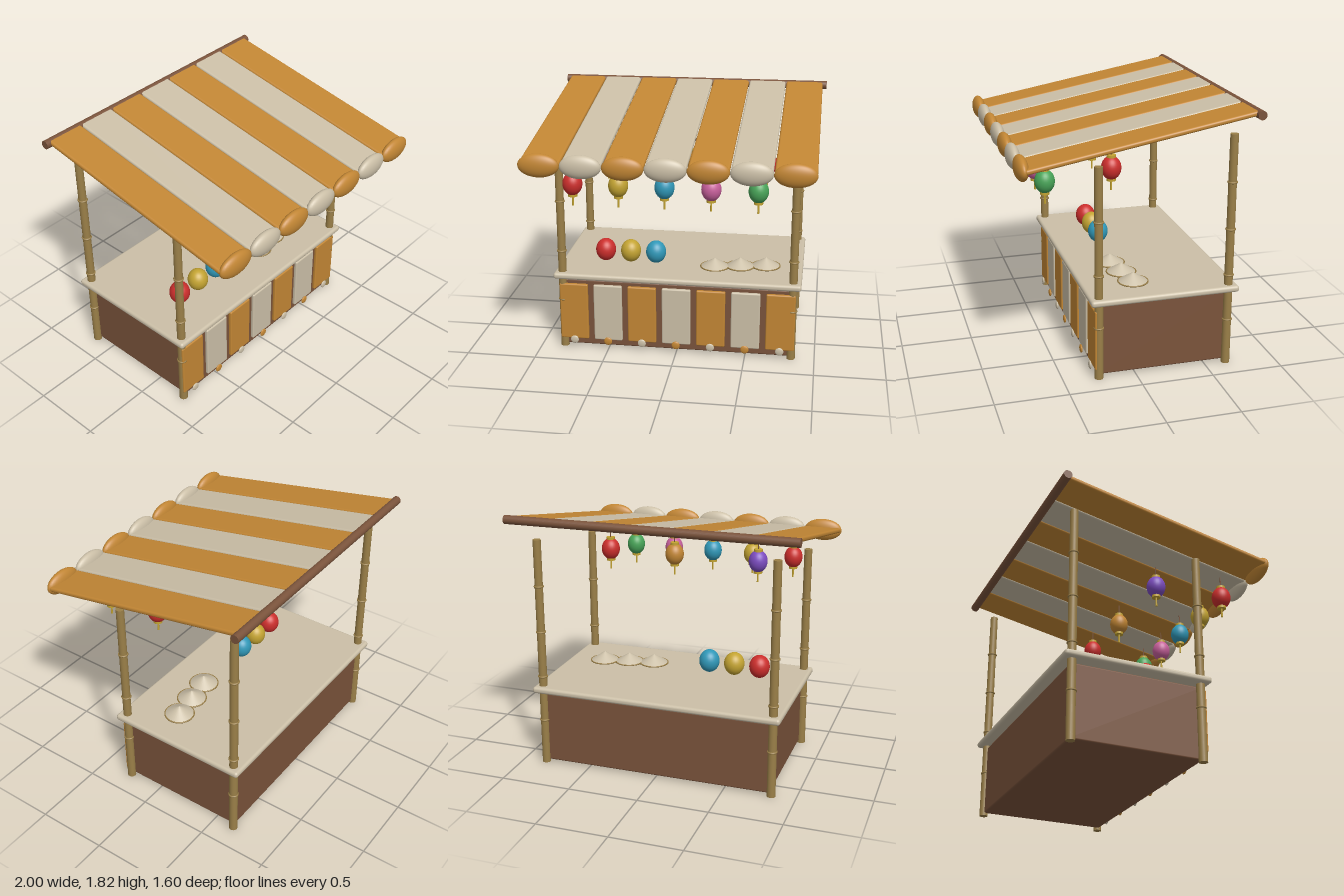
import * as THREE from 'three';
import { RoundedBoxGeometry } from 'three/addons/geometries/RoundedBoxGeometry.js';

const material = (name, color) => new THREE.MeshStandardMaterial({ name, color });

export function createModel() {
  const orange = material('orange cloth', 0xc28634);
  const cream = material('cream', 0xcbbfa7);
  const wood = material('brown wood', 0x7a533b);
  const bamboo = material('bamboo', 0x9a7f48);
  const red = material('red', 0xcc2e2c);
  const yellow = material('yellow', 0xc4a432);
  const blue = material('blue', 0x3098b8);
  const pink = material('pink', 0xc8609c);
  const green = material('green', 0x48a458);
  const purple = material('purple', 0x7c4cc0);

  const model = new THREE.Group();
  model.name = 'marketStall';

  function add(parent, name, geometry, mat, x = 0, y = 0, z = 0) {
    const mesh = new THREE.Mesh(geometry, mat);
    mesh.name = name;
    mesh.position.set(x, y, z);
    parent.add(mesh);
    return mesh;
  }
  const ellipsoid = (rx, ry, rz) => new THREE.SphereGeometry(1, 32, 20).scale(rx, ry, rz);

  // Cabinet and counter
  add(model, 'cabinet', new RoundedBoxGeometry(1.64, 0.51, 0.92, 3, 0.012), wood, 0, 0.273, -0.195);
  add(model, 'counterTop', new RoundedBoxGeometry(1.78, 0.046, 1.035, 4, 0.02), cream, 0, 0.564, -0.198);

  // Hanging cloth panels with a round weight on each hem
  const panelGeometry = new RoundedBoxGeometry(0.208, 0.43, 0.03, 3, 0.01);
  const weightGeometry = ellipsoid(0.03, 0.03, 0.01);
  for (let i = 0; i < 7; i++) {
    const x = (i - 3) * 0.25;
    const even = i % 2 === 0;
    add(model, 'frontPanel', panelGeometry, even ? orange : cream, x, 0.283, 0.274);
    add(model, 'panelWeight', weightGeometry, even ? cream : orange, x, 0.065, 0.299);
  }

  // Bamboo posts with raised joints
  function addPost(name, x, z, height, segments) {
    const post = new THREE.Group();
    post.name = name;
    post.position.set(x, 0, z);
    add(post, 'pole', new THREE.CylinderGeometry(0.028, 0.03, height, 20), bamboo, 0, height / 2);
    const joint = new THREE.TorusGeometry(0.029, 0.007, 8, 24).rotateX(Math.PI / 2);
    for (let i = 1; i < segments; i++) add(post, 'joint', joint, bamboo, 0, height * i / segments);
    model.add(post);
  }
  for (const side of [-1, 1]) {
    addPost('frontPost', side * 0.832, 0.258, 1.49, 4);
    addPost('backPost', side * 0.832, -0.652, 1.64, 5);
  }

  // Sloping awning: padded strips with rounded front flaps
  const awning = new THREE.Group();
  awning.name = 'awning';
  model.add(awning);
  const stripGeometry = new RoundedBoxGeometry(0.272, 0.034, 1.55, 4, 0.015);
  const flapGeometry = ellipsoid(0.139, 0.08, 0.045);
  for (let i = 0; i < 7; i++) {
    const x = (i - 3) * 0.278;
    const mat = i % 2 === 0 ? orange : cream;
    add(awning, 'awningStrip', stripGeometry, mat, x, 1.662, -0.012).rotation.x = 0.18;
    add(awning, 'awningFlap', flapGeometry, mat, x, 1.521, 0.755);
  }
  add(awning, 'ridgeBeam', new THREE.CylinderGeometry(0.03, 0.03, 2, 24).rotateZ(Math.PI / 2),
    wood, 0, 1.79, -0.768);

  // Hanging lanterns
  const bodyGeometry = ellipsoid(0.067, 0.08, 0.067);
  const capGeometry = new THREE.CylinderGeometry(0.031, 0.031, 0.02, 20);
  const cordGeometry = new THREE.CylinderGeometry(0.004, 0.004, 0.08, 8);
  const tasselGeometry = new THREE.CylinderGeometry(0.006, 0.007, 0.07, 8);
  function addLantern(mat, x, y, z) {
    const lantern = new THREE.Group();
    lantern.name = 'lantern';
    lantern.position.set(x, y, z);
    add(lantern, 'lanternBody', bodyGeometry, mat);
    for (const side of [-1, 1]) add(lantern, 'lanternCap', capGeometry, yellow, 0, side * 0.078, 0);
    add(lantern, 'cord', cordGeometry, wood, 0, 0.125, 0);
    add(lantern, 'tassel', tasselGeometry, yellow, 0, -0.118, 0);
    model.add(lantern);
  }
  [red, yellow, blue, pink, green].forEach((mat, i) => addLantern(mat, -0.66 + i * 0.3125, 1.345, 0.555));
  addLantern(purple, -0.505, 1.41, 0.116);
  addLantern(orange, 0.12, 1.41, 0.116);
  addLantern(red, 0.62, 1.41, 0.116);

  // Balls on the counter
  const ballGeometry = ellipsoid(0.074, 0.084, 0.074);
  [red, yellow, blue].forEach((mat, i) =>
    add(model, 'counterBall', ballGeometry, mat, -0.566 + i * 0.188, 0.668, -0.01));

  // Woven cone hats with a bamboo rim
  const coneGeometry = new THREE.ConeGeometry(0.105, 0.065, 32);
  const rimGeometry = new THREE.TorusGeometry(0.103, 0.005, 8, 36).rotateX(Math.PI / 2);
  for (let i = 0; i < 3; i++) {
    const x = 0.25 + i * 0.185;
    const z = 0.02 - i * 0.03;
    add(model, 'coneHat', coneGeometry, cream, x, 0.623, z);
    add(model, 'hatRim', rimGeometry, bamboo, x, 0.591, z);
  }

  return model;
}
